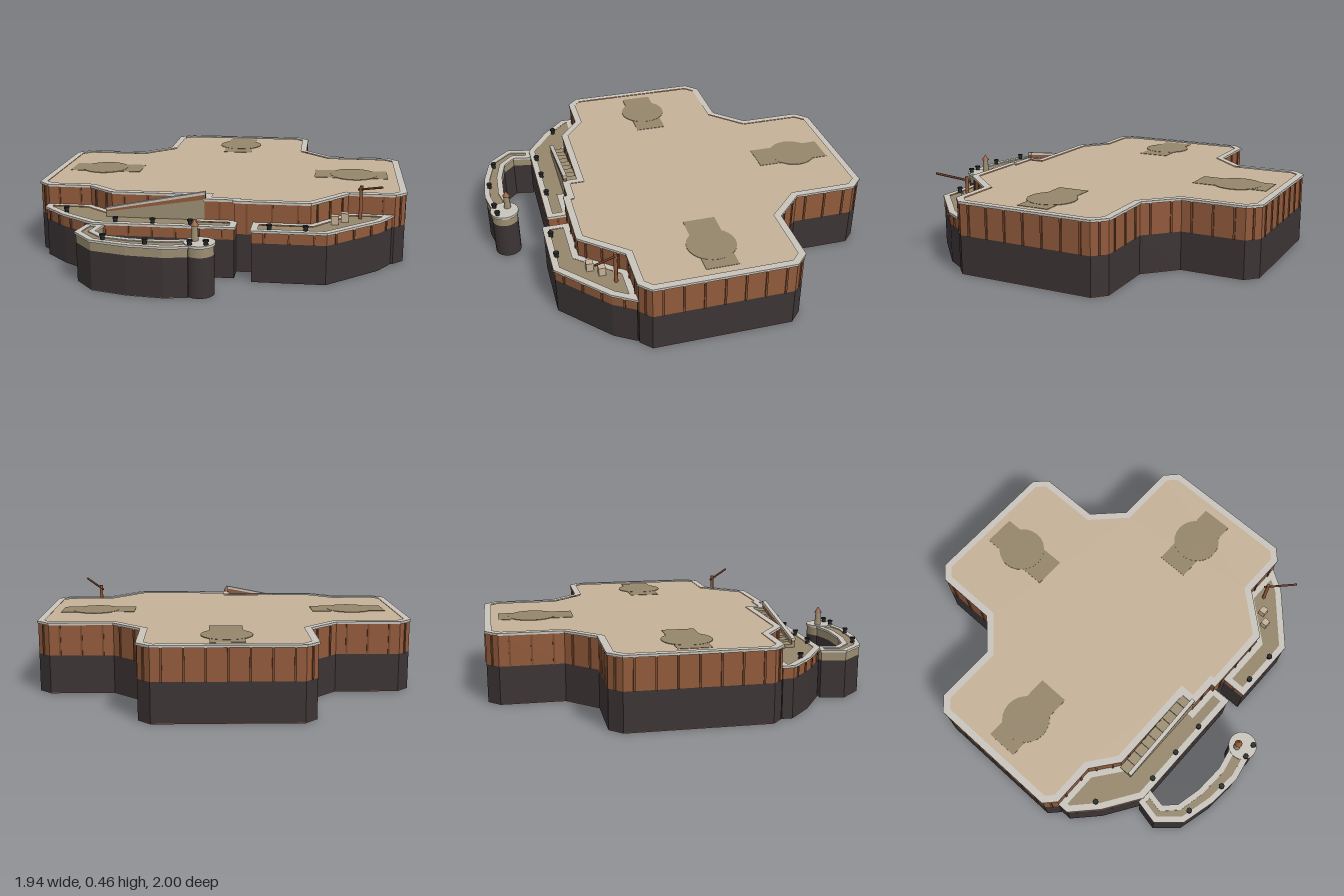
import * as THREE from 'three';

const mat = (name, color) => {
  const m = new THREE.MeshStandardMaterial({ color });
  m.name = name;
  return m;
};

// Moves every edge of a closed outline inward by d, with mitred corners.
function inset(pts, d) {
  const n = pts.length;
  let area = 0;
  pts.forEach(([x, z], i) => {
    const [u, w] = pts[(i + 1) % n];
    area += x * w - u * z;
  });
  const s = Math.sign(area);
  const normal = (a, b) => {
    const l = Math.hypot(b[0] - a[0], b[1] - a[1]);
    return [-s * (b[1] - a[1]) / l, s * (b[0] - a[0]) / l];
  };
  return pts.map((p, i) => {
    const a = normal(pts[(i + n - 1) % n], p), b = normal(p, pts[(i + 1) % n]);
    const k = d / (1 + a[0] * b[0] + a[1] * b[1]);
    return [p[0] + (a[0] + b[0]) * k, p[1] + (a[1] + b[1]) * k];
  });
}

const toVectors = pts => pts.map(([x, z]) => new THREE.Vector2(x, -z));

export function createModel() {
  const model = new THREE.Group();
  model.name = 'harbourPlatform';

  const stone = mat('dark foundation stone', 0x3c3435);
  const brick = mat('rust brown wall', 0x915a3b);
  const rust = mat('dark rust rib', 0x7a4a2f);
  const paving = mat('sand paving', 0xc5b198);
  const pad = mat('dark tan paving', 0x95866b);
  const kerb = mat('grey kerb', 0xc8c4bc);
  const tan = mat('tan masonry', 0x9c8e72);
  const iron = mat('black iron', 0x242224);
  const wood = mat('brown timber', 0x6b3b22);

  const add = (parent, name, geo, material, x = 0, y = 0, z = 0) => {
    const m = new THREE.Mesh(geo, material);
    m.name = name;
    m.position.set(x, y, z);
    parent.add(m);
    return m;
  };
  const box = (parent, name, w, h, d, material, x, y, z) =>
    add(parent, name, new THREE.BoxGeometry(w, h, d), material, x, y, z);

  // Vertical prism over an outline, optionally with a hole
  const slab = (parent, name, pts, y0, y1, material, hole) => {
    const shape = new THREE.Shape(toVectors(pts));
    if (hole) shape.holes.push(new THREE.Path(toVectors(hole)));
    const geo = new THREE.ExtrudeGeometry(shape, { depth: y1 - y0, bevelEnabled: false });
    geo.rotateX(-Math.PI / 2);
    return add(parent, name, geo, material, 0, y0, 0);
  };

  // Vertical ribs spaced along each wall
  const ribs = (parent, pts, y0, y1) => pts.forEach((a, i) => {
    const b = pts[(i + 1) % pts.length];
    const dx = b[0] - a[0], dz = b[1] - a[1], len = Math.hypot(dx, dz);
    const n = Math.round(len / 0.11);
    for (let k = 0; k < n; k++) {
      const t = (k + 0.5) / n;
      box(parent, 'wallRib', 0.01, y1 - y0, 0.012, rust,
        a[0] + dx * t, (y0 + y1) / 2, a[1] + dz * t).rotation.y = -Math.atan2(dz, dx);
    }
  });

  // Foundation, wall, floor and raised kerb over one outline
  const terrace = (name, pts, top, wallMat, floorMat, kerbWidth, ribbed, under) => {
    const g = new THREE.Group();
    g.name = name;
    model.add(g);
    const wall = inset(pts, 0.006);
    slab(g, 'foundation', wall, 0.003, 0.2, stone);
    slab(g, 'underside', wall, 0, 0.003, under);
    slab(g, 'wall', wall, 0.2, top - 0.012, wallMat);
    slab(g, 'floor', inset(pts, kerbWidth - 0.004), top - 0.012, top - 0.005, floorMat);
    slab(g, 'kerb', pts, top - 0.012, top, kerb, inset(pts, kerbWidth));
    if (ribbed) ribs(g, wall, 0.2, top - 0.012);
    return g;
  };

  // Main cross-shaped platform
  const main = terrace('mainPlatform', [
    [-0.36, -1], [0.36, -1], [0.425, -0.935], [0.425, -0.605], [0.575, -0.455], [0.905, -0.455],
    [0.972, -0.39], [0.972, 0.335], [0.912, 0.392], [0.675, 0.392], [0.49, 0.602], [0.1, 0.602],
    [0.1, 0.58], [-0.05, 0.58], [-0.05, 0.5], [-0.54, 0.5], [-0.68, 0.392], [-0.912, 0.392],
    [-0.972, 0.335], [-0.972, -0.39], [-0.905, -0.455], [-0.575, -0.455], [-0.425, -0.605],
    [-0.425, -0.935],
  ], 0.372, brick, paving, 0.037, true, brick);

  // Round pads with a cross strip, almost flush with the paving
  for (const [x, z, turn] of [[0, -0.745, 1], [-0.705, -0.035, 0], [0.705, -0.035, 0]]) {
    const g = new THREE.Group();
    g.name = 'landingPad';
    g.position.set(x, 0.367, z);
    g.rotation.y = turn * Math.PI / 2;
    main.add(g);
    box(g, 'padStrip', 0.4, 0.004, 0.168, pad, turn ? -0.02 : x < 0 ? 0.015 : -0.015, 0, 0);
    add(g, 'padDisc', new THREE.CylinderGeometry(0.127, 0.127, 0.006, 24), pad);
  }

  // Lower quays along the front, tucked under the main wall
  const leftQuay = terrace('rampQuay', [
    [-0.912, 0.385], [-0.68, 0.385], [-0.54, 0.492], [-0.05, 0.492], [-0.05, 0.578], [0.124, 0.578],
    [0.124, 0.697], [-0.59, 0.697], [-0.78, 0.572], [-0.912, 0.447],
  ], 0.265, brick, pad, 0.034, true, stone);
  const rightQuay = terrace('craneQuay', [
    [0.2, 0.596], [0.488, 0.596], [0.672, 0.384], [0.908, 0.384], [0.833, 0.502], [0.572, 0.737],
    [0.2, 0.737],
  ], 0.265, brick, pad, 0.034, true, stone);

  // Curved breakwater with a round head
  const mole = terrace('breakwater', [
    [-0.62, 0.69], [-0.647, 0.82], [-0.542, 0.938], [-0.36, 0.985], [-0.18, 1], [-0.06, 0.977],
    [-0.06, 0.865], [-0.2, 0.893], [-0.36, 0.885], [-0.49, 0.855], [-0.55, 0.795], [-0.53, 0.69],
  ], 0.255, tan, pad, 0.03, false, tan);
  const drum = (name, r, y0, y1, material) => add(mole, name,
    new THREE.CylinderGeometry(r, r, y1 - y0, 20), material, -0.02, (y0 + y1) / 2, 0.91);
  drum('headFoundation', 0.07, 0, 0.2, stone);
  drum('headWall', 0.07, 0.2, 0.245, tan);
  drum('headCap', 0.076, 0.245, 0.258, kerb);

  // Small beacon tower
  const beacon = new THREE.Group();
  beacon.name = 'beacon';
  beacon.position.set(-0.045, 0.258, 0.89);
  mole.add(beacon);
  add(beacon, 'tower', new THREE.CylinderGeometry(0.014, 0.019, 0.072, 10), tan, 0, 0.036, 0);
  add(beacon, 'roof', new THREE.ConeGeometry(0.021, 0.032, 10), brick, 0, 0.088, 0);

  // Mooring bollards
  const bollards = (parent, y, list) => list.forEach(([x, z]) => {
    add(parent, 'bollardPost', new THREE.CylinderGeometry(0.01, 0.012, 0.024, 8), iron, x, y + 0.012, z);
    add(parent, 'bollardCap', new THREE.CylinderGeometry(0.015, 0.015, 0.008, 8), iron, x, y + 0.026, z);
  });
  bollards(leftQuay, 0.26, [[-0.773, 0.524], [-0.48, 0.667], [-0.292, 0.667], [-0.103, 0.667]]);
  bollards(rightQuay, 0.26, [[0.29, 0.704], [0.466, 0.704]]);
  bollards(mole, 0.252, [[-0.48, 0.92], [-0.268, 0.965], [-0.058, 0.96], [0.017, 0.951]]);

  // Stairs up to the main platform
  const stairs = new THREE.Group();
  stairs.name = 'stairs';
  model.add(stairs);
  const steps = 9, x0 = -0.55, x1 = -0.04, run = (x1 - x0) / steps;
  for (let i = 0; i < steps; i++) {
    const h = 0.02 + i * 0.011;
    box(stairs, 'step', run, h, 0.06, tan, x0 + (i + 0.5) * run, 0.257 + h / 2, 0.527);
  }

  // Sloping parapet on the outer side of the stairs
  const slopeSlab = (name, b0, b1, t0, t1, z, depth, material) => {
    const shape = new THREE.Shape([[x0, b0], [x1, b1], [x1, t1], [x0, t0]]
      .map(p => new THREE.Vector2(...p)));
    add(stairs, name, new THREE.ExtrudeGeometry(shape, { depth, bevelEnabled: false }), material, 0, 0, z);
  };
  slopeSlab('stairSide', 0.255, 0.255, 0.287, 0.368, 0.557, 0.016, tan);
  slopeSlab('parapet', 0.287, 0.368, 0.297, 0.393, 0.556, 0.018, brick);
  slopeSlab('parapetCap', 0.297, 0.393, 0.308, 0.408, 0.554, 0.022, kerb);

  // Timber crane: post, boom and brace
  const crane = new THREE.Group();
  crane.name = 'crane';
  rightQuay.add(crane);
  const beam = (name, a, b, r, material) => {
    const p = new THREE.Vector3(...a), q = new THREE.Vector3(...b), d = q.clone().sub(p);
    const m = add(crane, name, new THREE.CylinderGeometry(r, r, d.length(), 6), material);
    m.position.copy(p).add(q).multiplyScalar(0.5);
    m.quaternion.setFromUnitVectors(new THREE.Vector3(0, 1, 0), d.normalize());
  };
  beam('post', [0.733, 0.255, 0.455], [0.733, 0.432, 0.455], 0.01, brick);
  beam('boom', [0.72, 0.408, 0.44], [0.83, 0.457, 0.572], 0.006, wood);

  // Cargo crates
  for (const [x, z] of [[0.605, 0.562], [0.655, 0.51]])
    box(rightQuay, 'crate', 0.038, 0.046, 0.036, paving, x, 0.282, z);

  return model;
}
